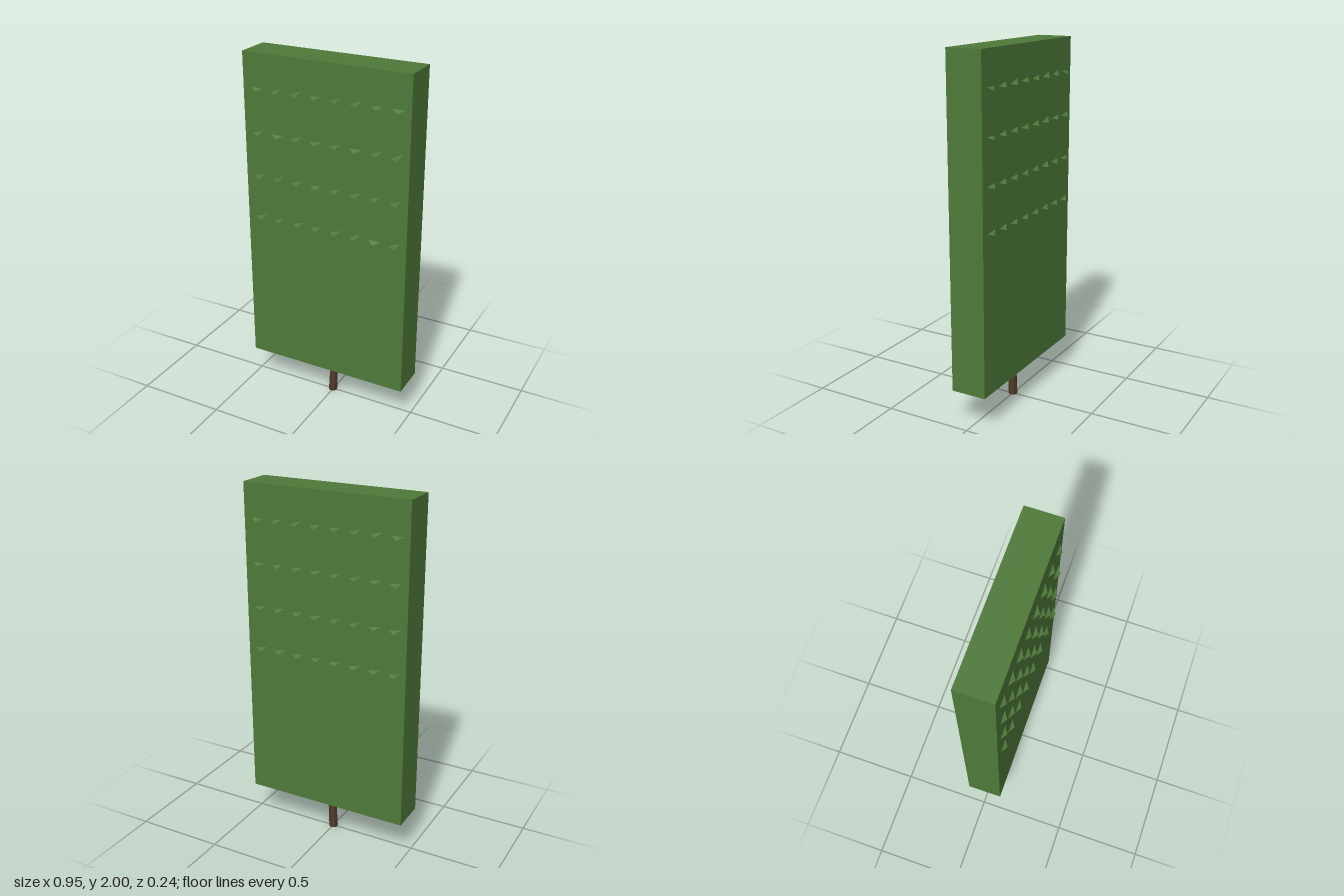
import * as THREE from 'three';

export function createModel() {
  const model = new THREE.Group();
  const leafGreen = new THREE.MeshStandardMaterial({ color: 0x4f7a3a, flatShading: true });
  leafGreen.name = 'leaf green';
  const leafTipGreen = leafGreen.clone();
  leafTipGreen.side = THREE.DoubleSide;
  const barkBrown = new THREE.MeshStandardMaterial({ color: 0x503a28, flatShading: true });
  barkBrown.name = 'bark brown';

  // Clipped hedge block
  const hedge = new THREE.Mesh(new THREE.BoxGeometry(0.95, 1.8, 0.2), leafGreen);
  hedge.name = 'hedge';
  hedge.position.y = 1.1;
  model.add(hedge);

  // Trunk, leaning slightly to its left
  const trunkShape = new THREE.CylinderGeometry(0.023, 0.026, 0.23, 8);
  const p = trunkShape.attributes.position;
  for (let i = 0; i < p.count; i++) {
    const y = p.getY(i) + 0.115;
    p.setXYZ(i, p.getX(i) - 0.002 + y * 0.045, y, p.getZ(i));
  }
  trunkShape.computeVertexNormals();
  const trunk = new THREE.Mesh(trunkShape, barkBrown);
  trunk.name = 'trunk';
  model.add(trunk);

  // Drooping leaf tips in four rows; each digit is how far a tip is rolled
  const rowHeights = [1.8, 1.56, 1.315, 1.075];
  const frontRolls = ['09929930', '70737079', '88838888', '66667808'];
  const backRolls = ['05744750', '04445744', '44435643', '34334434'];

  function leafTips(rolls, name) {
    const points = [];
    rolls.forEach((row, r) => {
      [...row].forEach((digit, c) => {
        const k = Number(digit) / 9;
        const x = -0.395 + c * 0.1145;
        const y = rowHeights[r];
        points.push(
          x - 0.036, y + 0.017 - 0.012 * k, 0.099,
          x + 0.006 * k, y, 0.122,
          x + 0.036, y + 0.017 + 0.019 * k, 0.099,
        );
      });
    });
    const geometry = new THREE.BufferGeometry();
    geometry.setAttribute('position', new THREE.Float32BufferAttribute(points, 3));
    geometry.computeVertexNormals();
    const mesh = new THREE.Mesh(geometry, leafTipGreen);
    mesh.name = name;
    model.add(mesh);
    return mesh;
  }
  leafTips(frontRolls, 'frontLeafTips');
  leafTips(backRolls, 'backLeafTips').rotation.y = Math.PI;

  return model;
}
